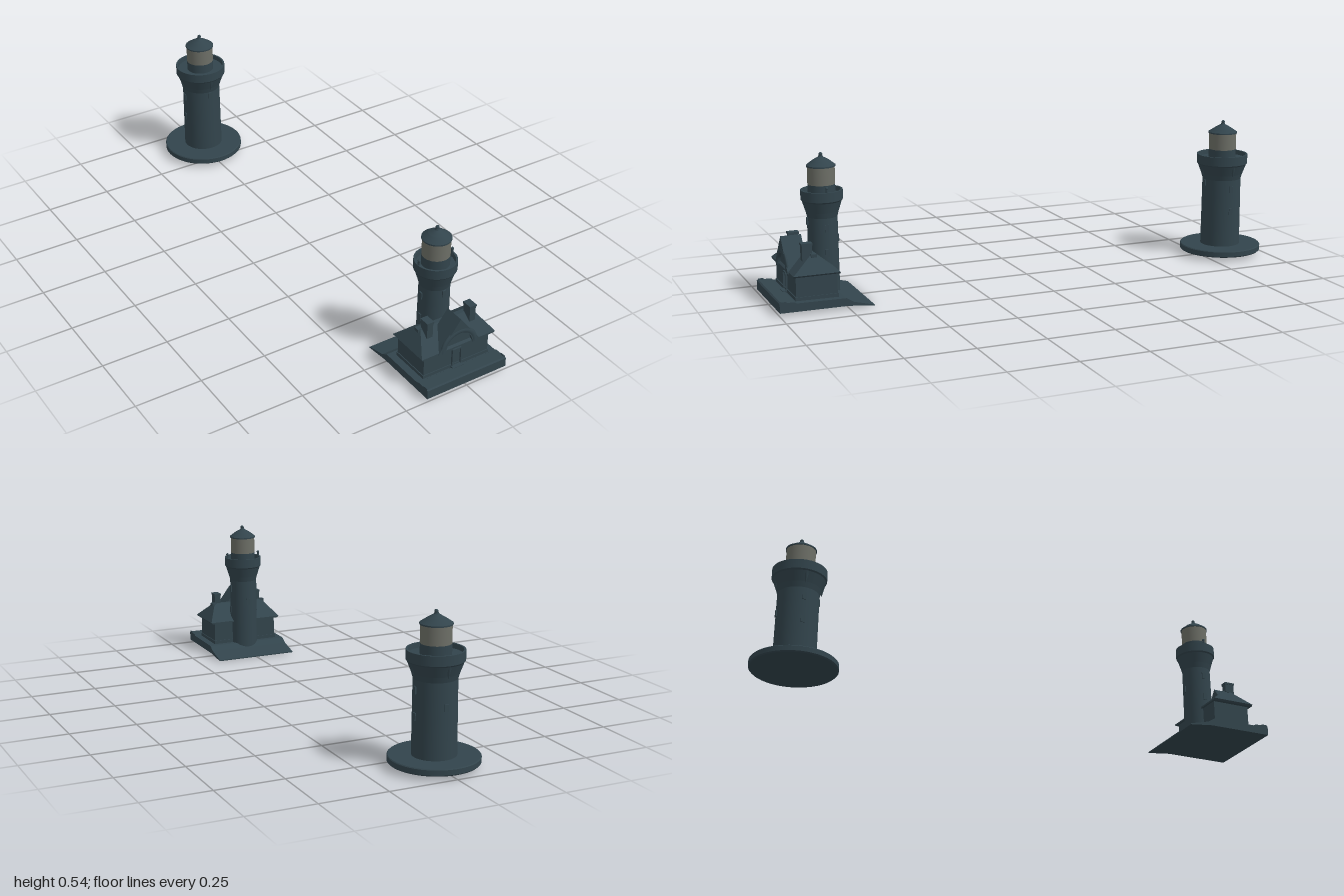
import * as THREE from 'three';
import { ConvexGeometry } from 'three/addons/geometries/ConvexGeometry.js';

const slate = new THREE.MeshStandardMaterial({ color: 0x32444c, side: THREE.DoubleSide });
slate.name = 'darkSlate';
const glass = new THREE.MeshStandardMaterial({ color: 0x6c6e66, side: THREE.DoubleSide });
glass.name = 'lanternGrey';

function add(group, name, geometry, material = slate, x = 0, y = 0, z = 0) {
  const mesh = new THREE.Mesh(geometry, material);
  mesh.name = name;
  mesh.position.set(x, y, z);
  group.add(mesh);
  return mesh;
}

const box = (w, h, d) => new THREE.BoxGeometry(w, h, d);

// Each profile segment is its own lathe so the edges stay sharp
function turned(group, name, points, material = slate) {
  const part = new THREE.Group();
  part.name = name;
  for (let i = 0; i < points.length - 1; i++) {
    const pair = [points[i], points[i + 1]].map(([r, y]) => new THREE.Vector2(r, y));
    add(part, name + 'Band', new THREE.LatheGeometry(pair, 48), material);
  }
  group.add(part);
  return part;
}

// Shaft, gallery, lantern and cap shared by both towers
function tower(name, z, r, rim, lamp, bottom) {
  const g = new THREE.Group();
  g.name = name;
  g.position.z = z;
  turned(g, 'shaft', [[r + 0.002, bottom], [r, 0.305], [r + (rim - r) * 0.25, 0.325], [rim - 0.004, 0.362]]);
  turned(g, 'gallery', [[rim - 0.004, 0.362], [rim, 0.367], [rim, 0.402], [rim - 0.007, 0.402],
    [rim - 0.009, 0.385], [0, 0.385]]);
  turned(g, 'lanternBase', [[lamp, 0.385], [lamp, 0.422]]);
  turned(g, 'lantern', [[lamp, 0.422], [lamp, 0.488]], glass);
  turned(g, 'cap', [[0, 0.485], [lamp + 0.003, 0.485], [lamp + 0.003, 0.49], [0.03, 0.507], [0.009, 0.519],
    [0.006, 0.526]]);
  add(g, 'finial', new THREE.SphereGeometry(0.007, 12, 8), slate, 0.001, 0.528, 0);
  // Window surrounds on the four sides, at staggered heights
  [[0, 0.29], [1, 0.18], [1, 0.27], [2, 0.22], [3, 0.18], [3, 0.27]].forEach(([side, y]) => {
    const a = side * Math.PI / 2;
    const w = add(g, 'window', box(0.014, 0.026, 0.008), slate, Math.sin(a) * r, y, Math.cos(a) * r);
    w.rotation.y = a;
  });
  return g;
}

function roundLighthouse() {
  const g = tower('roundLighthouse', -0.843, 0.075, 0.099, 0.053, 0.035);
  turned(g, 'footing', [[0, 0.015], [0.154, 0.015], [0.158, 0.019], [0.158, 0.037], [0.155, 0.04], [0, 0.04]]);
  // Brackets under the gallery
  for (let i = 0; i < 4; i++) {
    const a = i * Math.PI / 2;
    const b = add(g, 'bracket', new THREE.ConeGeometry(0.012, 0.05, 10), slate,
      Math.sin(a) * 0.085, 0.342, Math.cos(a) * 0.085);
    b.rotation.x = Math.PI;
  }
  return g;
}

function house() {
  const g = new THREE.Group();
  g.name = 'house';

  // Ground slab whose rear edge slopes down to the ground
  const section = new THREE.Shape([[1, 0.012], [1, 0.045], [0.995, 0.049], [0.945, 0.047], [0.94, 0.042],
    [0.76, 0.04], [0.735, 0.024], [0.657, 0.004], [0.657, 0], [0.75, 0.011]].map(([z, y]) => new THREE.Vector2(-z, y)));
  const slab = add(g, 'groundSlab', new THREE.ExtrudeGeometry(section, { depth: 0.33, bevelEnabled: false }),
    slate, -0.165, 0, 0);
  slab.rotation.y = Math.PI / 2;

  add(g, 'walls', box(0.27, 0.1, 0.15), slate, 0, 0.085, 0.858);
  add(g, 'wallFooting', box(0.276, 0.014, 0.156), slate, 0, 0.047, 0.858);

  // Hipped roof
  const corners = [];
  for (const s of [-1, 1]) {
    for (const z of [0.775, 0.945]) {
      corners.push(new THREE.Vector3(s * 0.153, 0.134, z), new THREE.Vector3(s * 0.148, 0.128, z));
    }
    corners.push(new THREE.Vector3(s * 0.107, 0.196, 0.868), new THREE.Vector3(s * 0.107, 0.196, 0.852));
  }
  add(g, 'hippedRoof', new ConvexGeometry(corners));

  // Front gable with an arched opening
  const gable = new THREE.Shape();
  gable.moveTo(0.055, 0.128);
  gable.lineTo(0.088, 0.128);
  gable.lineTo(0, 0.245);
  gable.lineTo(-0.088, 0.128);
  gable.lineTo(-0.055, 0.128);
  gable.absarc(0, 0.128, 0.055, Math.PI, 0, true);
  add(g, 'gable', new THREE.ExtrudeGeometry(gable, { depth: 0.075, bevelEnabled: false, curveSegments: 20 }),
    slate, 0, 0, 0.873);
  const infill = new THREE.CircleGeometry(0.058, 24, 0, Math.PI);
  add(g, 'archInfill', infill, slate, 0, 0.128, 0.937);
  const arch = add(g, 'archMoulding', new THREE.TorusGeometry(0.066, 0.011, 8, 28, Math.PI), slate, 0, 0.128, 0.944);
  arch.scale.z = 0.5;

  // Round-topped door with its frame
  const arched = (w, h) => {
    const s = new THREE.Shape();
    s.moveTo(-w, 0);
    s.lineTo(w, 0);
    s.lineTo(w, h - 0.007);
    s.quadraticCurveTo(w, h, w - 0.007, h);
    s.lineTo(0.007 - w, h);
    s.quadraticCurveTo(-w, h, -w, h - 0.007);
    s.closePath();
    return s;
  };
  const frame = arched(0.02, 0.075);
  frame.holes.push(arched(0.0155, 0.07));
  add(g, 'doorFrame', new THREE.ExtrudeGeometry(frame, { depth: 0.008, bevelEnabled: false }), slate, 0, 0.042, 0.932);
  add(g, 'doorStep', box(0.046, 0.008, 0.02), slate, 0, 0.045, 0.942);

  // Chimneys, ridge ends and slab corner posts
  for (const s of [-1, 1]) {
    add(g, 'chimney', box(0.024, 0.09, 0.036), slate, s * 0.089, 0.186, 0.88);
    add(g, 'chimneyCap', box(0.028, 0.008, 0.04), slate, s * 0.089, 0.231, 0.88);
    add(g, 'ridgeEnd', box(0.02, 0.012, 0.02), slate, s * 0.108, 0.192, 0.86);
    add(g, 'cornerPost', box(0.004, 0.012, 0.02), slate, s * 0.163, 0.046, 0.985);
  }
  return g;
}

function houseTower() {
  const g = tower('houseTower', 0.793, 0.054, 0.075, 0.049, 0.025);
  // Small posts on the gallery rim
  for (const s of [-1, 1]) {
    add(g, 'galleryPost', new THREE.CylinderGeometry(0.0045, 0.0045, 0.04, 10), slate, s * 0.069, 0.397, 0);
    add(g, 'postKnob', new THREE.SphereGeometry(0.0055, 10, 8), slate, s * 0.069, 0.417, 0);
  }
  return g;
}

export function createModel() {
  const model = new THREE.Group();
  model.name = 'lighthousePair';
  model.add(roundLighthouse(), house(), houseTower());
  return model;
}
